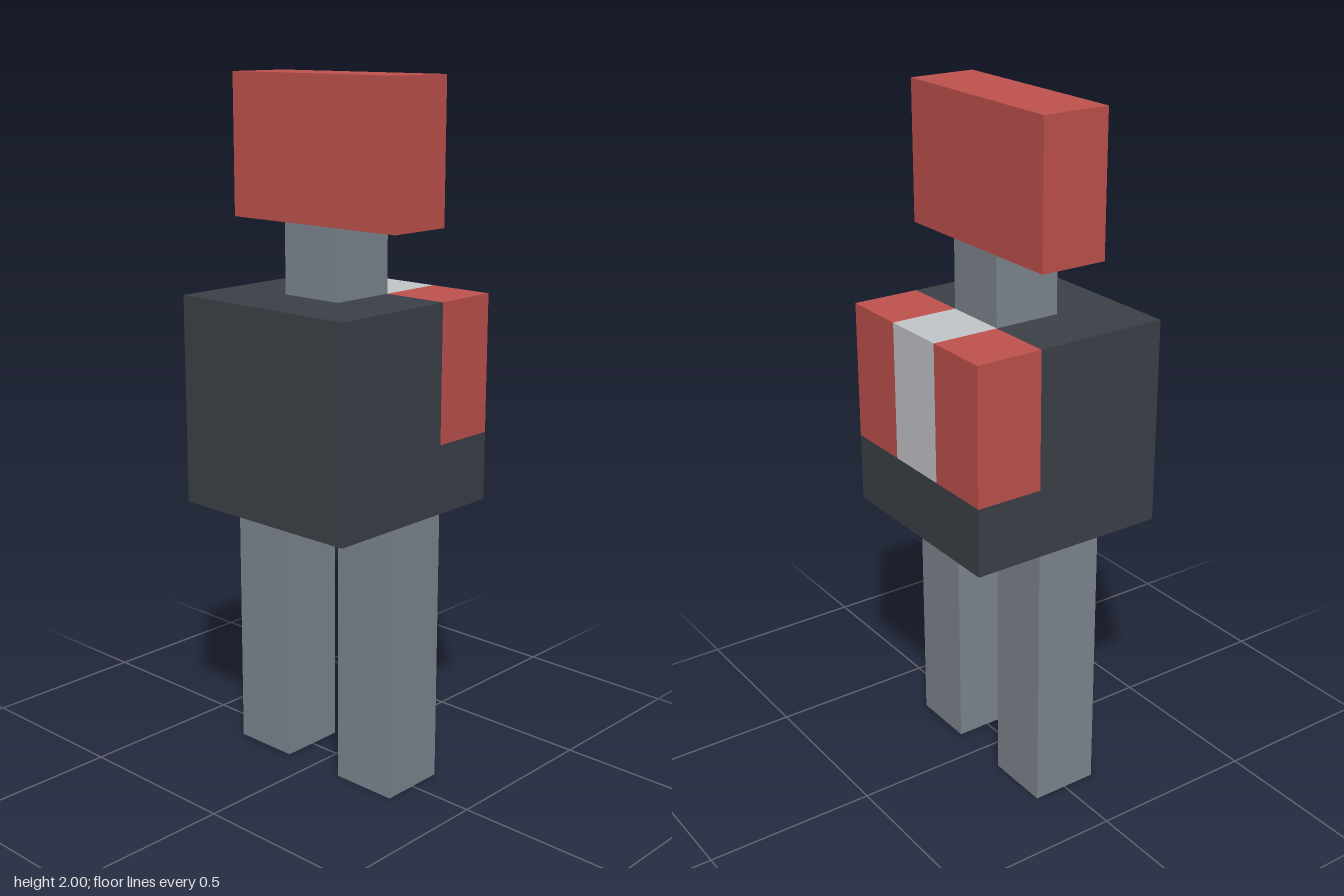
import * as THREE from 'three';

const material = (name, color) => {
  const m = new THREE.MeshStandardMaterial({ color });
  m.name = name;
  return m;
};

export function createModel() {
  const red = material('red', 0xc0524e);
  const steel = material('steel grey', 0x7f8790);
  const charcoal = material('charcoal', 0x3c4047);
  const silver = material('light grey', 0xc4c7ca);

  const model = new THREE.Group();
  model.name = 'blockFigure';

  const add = (name, geometry, mat) => {
    const mesh = new THREE.Mesh(geometry, mat);
    mesh.name = name;
    model.add(mesh);
    return mesh;
  };
  // Box given by its size, its centre in x and z, and its bottom in y
  const box = (name, mat, [w, h, d], [x, bottom, z]) =>
    add(name, new THREE.BoxGeometry(w, h, d), mat).position.set(x, bottom + h / 2, z);

  // Legs
  for (const [name, side] of [['leftLeg', 1], ['rightLeg', -1]]) {
    box(name, steel, [0.2, 0.8, 0.2], [side * 0.2, 0, 0]);
  }

  // Torso: side profile (z, y) with a notch for the backpack, extruded across x
  const profile = new THREE.Shape([
    [-0.3, 0.8], [0.3, 0.8], [0.3, 1.4], [-0.1, 1.4], [-0.1, 1], [-0.3, 1],
  ].map(([z, y]) => new THREE.Vector2(z, y)));
  const torso = new THREE.ExtrudeGeometry(profile, { depth: 0.6, bevelEnabled: false });
  torso.rotateY(-Math.PI / 2).translate(0.3, 0, 0);
  add('torso', torso, charcoal);

  // Backpack: red sides around a light centre
  for (const [name, side] of [['backpackLeft', 1], ['backpackRight', -1]]) {
    box(name, red, [0.2, 0.4, 0.2], [side * 0.2, 1, -0.2]);
  }
  box('backpackCentre', silver, [0.2, 0.4, 0.2], [0, 1, -0.2]);

  // Neck and head
  box('neck', steel, [0.2, 0.2, 0.2], [0, 1.4, 0]);
  box('head', red, [0.6, 0.4, 0.2], [0, 1.6, 0]);

  return model;
}
